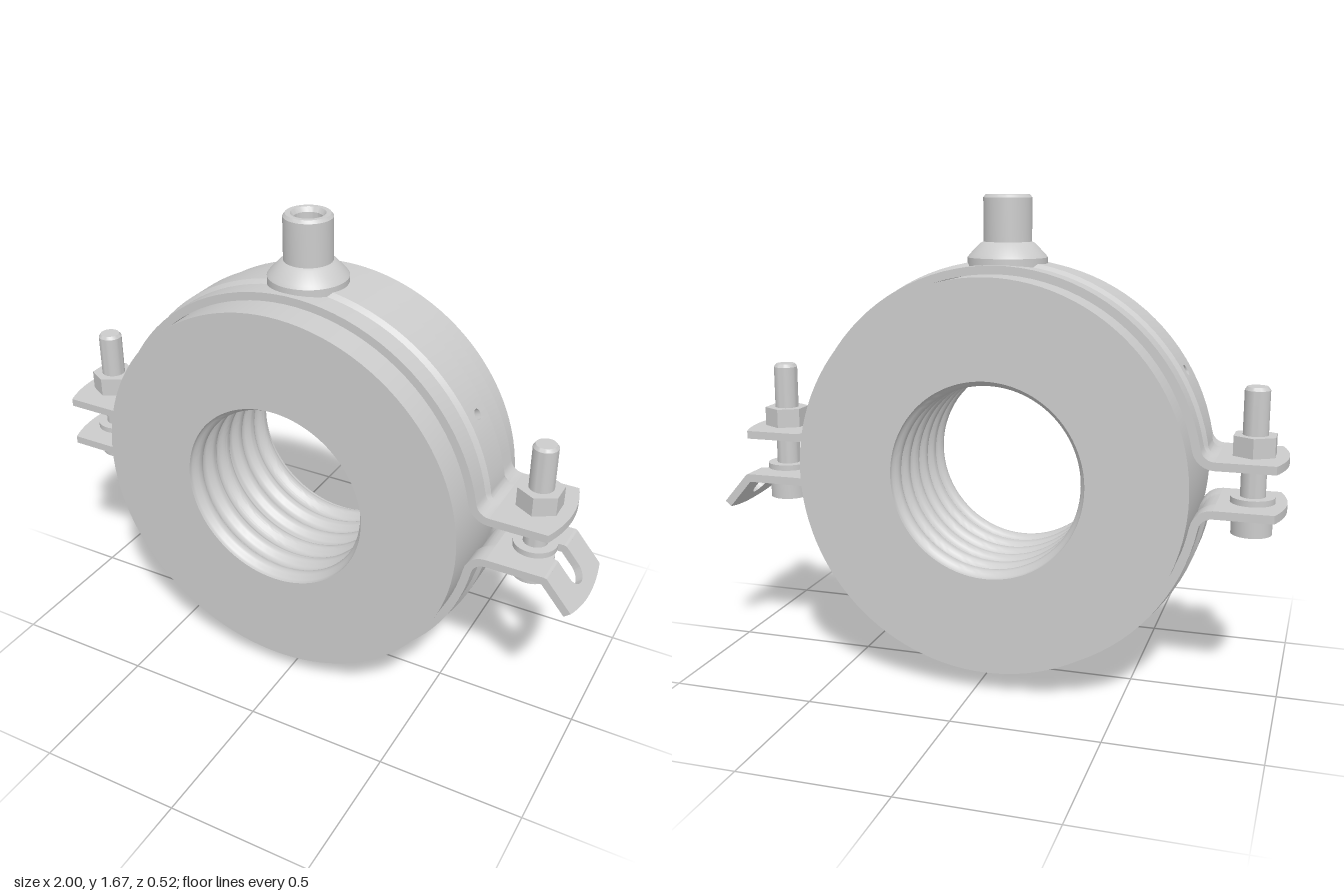
import * as THREE from 'three';
import { toCreasedNormals } from 'three/addons/utils/BufferGeometryUtils.js';

const CY = 0.744;            // height of the ring axis
const R = 0.686, T = 0.028;  // band mid radius and sheet thickness
const W = 0.155;             // half width of the band
const H = 0.08;              // ear height above the axis
const RF = 0.06;             // bend radius between band and ear
const BOLT = 0.845;          // bolt distance from the axis
const FX = Math.sqrt((R + RF) ** 2 - (H + RF) ** 2); // where the flat ear begins

const material = new THREE.MeshStandardMaterial({ color: 0xcccccc });

function part(name, geometry, parent, crease = 0.5) {
  const mesh = new THREE.Mesh(toCreasedNormals(geometry, crease), material);
  mesh.name = name;
  parent.add(mesh);
  return mesh;
}

function lathe(points, segments = 48) {
  return new THREE.LatheGeometry(points.map(([x, y]) => new THREE.Vector2(x, y)), segments);
}

// Flat plate lying in xz, centred on y = 0
function plate(shape) {
  return new THREE.ExtrudeGeometry(shape, { depth: T, bevelEnabled: false, curveSegments: 16 })
    .rotateX(-Math.PI / 2).translate(0, -T / 2, 0);
}

function circlePath(x, y, r) {
  const p = new THREE.Path();
  p.absarc(x, y, r, 0, Math.PI * 2, true);
  return p;
}

// Half band: sheet section swept along bend, arc, bend; the bead fades out in the bends
function bandGeometry() {
  const stations = [], bendSteps = 6, arcSteps = 44;
  const a0 = Math.asin((H + RF) / (R + RF));
  const bend = (k, side) => {
    const f = k / bendSteps, a = -Math.PI / 2 - f * (Math.PI / 2 - a0);
    const c = Math.cos(a), s = Math.sin(a);
    return { x: side * (FX + RF * c), y: H + RF + RF * s, nx: -side * c, ny: -s, bead: f };
  };
  for (let k = 0; k < bendSteps; k++) stations.push(bend(k, 1));
  for (let k = 0; k <= arcSteps; k++) {
    const a = a0 + (Math.PI - 2 * a0) * k / arcSteps, c = Math.cos(a), s = Math.sin(a);
    stations.push({ x: R * c, y: R * s, nx: c, ny: s, bead: 1 });
  }
  for (let k = bendSteps - 1; k >= 0; k--) stations.push(bend(k, -1));

  const outer = [[-W, 0], [-0.078, 0], [-0.06, 0.012], [0.06, 0.012], [0.078, 0], [W, 0]];
  const loop = [...outer.map(([z, b]) => [z, b, T / 2]),
    ...outer.slice().reverse().map(([z, b]) => [z, b, -T / 2])];
  const at = (st, [z, b, t]) => {
    const d = t + b * st.bead;
    return new THREE.Vector3(st.x + st.nx * d, st.y + st.ny * d, z);
  };
  const pos = [];
  const quad = (a, b, c, d) => [a, b, c, a, c, d].forEach(p => pos.push(p.x, p.y, p.z));
  const drilled = [bendSteps + 5, bendSteps + arcSteps - 6];

  for (let i = 0; i < stations.length - 1; i++) {
    const s0 = stations[i], s1 = stations[i + 1];
    loop.forEach((p, j) => {
      const q = loop[(j + 1) % loop.length];
      const a = at(s0, p), b = at(s1, p), c = at(s1, q), d = at(s0, q);
      if (j !== 2 || !drilled.includes(i)) return quad(a, b, c, d);
      // Small drilled hole: rectangle to circle, plus its wall
      const mid = a.clone().add(c).multiplyScalar(0.5);
      const ex = b.clone().sub(a).multiplyScalar(0.5), ez = d.clone().sub(a).multiplyScalar(0.5);
      const down = mid.clone().setZ(0).normalize().multiplyScalar(-T);
      const n = 24;
      const ring = k => {
        const t = (k + 0.5) / n * Math.PI * 2 + Math.PI / n, u = Math.cos(t), v = Math.sin(t);
        const m = Math.max(Math.abs(u), Math.abs(v));
        // equal steps around the square keep its corners
        const e = (k % n) / n * 4, side = Math.floor(e), f = (e - side) * 2 - 1;
        const sq = [[1, f], [-f, 1], [-1, -f], [f, -1]][side];
        const len = Math.hypot(sq[0], sq[1]);
        const put = (x, z) => mid.clone().addScaledVector(ex, x).addScaledVector(ez, z);
        const rim = put(sq[0] / len * 0.019 / ex.length(), sq[1] / len * 0.019 / ez.length());
        return { edge: put(sq[0], sq[1]), rim, base: rim.clone().add(down) };
      };
      for (let k = 0; k < n; k++) {
        const p0 = ring(k), p1 = ring(k + 1);
        quad(p0.edge, p1.edge, p1.rim, p0.rim);
        quad(p0.rim, p1.rim, p1.base, p0.base);
      }
    });
  }
  const g = new THREE.BufferGeometry();
  g.setAttribute('position', new THREE.Float32BufferAttribute(pos, 3));
  return g;
}

// Flat ear with a bowed end and a bolt hole
function earGeometry() {
  const s = new THREE.Shape();
  s.moveTo(FX, -W);
  s.lineTo(0.927, -W);
  s.quadraticCurveTo(0.987, 0, 0.927, W);
  s.lineTo(FX, W);
  s.holes.push(circlePath(BOLT, 0, 0.045));
  return plate(s);
}

// Ear with an open slot that runs on into an angled tab
function addSlottedEar(parent) {
  const bendX = 0.93, r = 0.045, tilt = 0.865;
  const flat = new THREE.Shape();
  flat.moveTo(FX, -W);
  flat.lineTo(bendX, -W);
  flat.lineTo(bendX, -r);
  flat.lineTo(BOLT, -r);
  flat.absarc(BOLT, 0, r, -Math.PI / 2, Math.PI / 2, true);
  flat.lineTo(bendX, r);
  flat.lineTo(bendX, W);
  flat.lineTo(FX, W);
  part('slottedEar', plate(flat).translate(0, H, 0), parent);

  const tab = new THREE.Shape();
  tab.moveTo(0, -W);
  tab.lineTo(0.135, -W);
  tab.quadraticCurveTo(0.185, 0, 0.135, W);
  tab.lineTo(0, W);
  tab.lineTo(0, r);
  tab.lineTo(0.065, r);
  tab.absarc(0.065, 0, r, Math.PI / 2, -Math.PI / 2, true);
  tab.lineTo(0, -r);
  part('slottedTab', plate(tab).rotateZ(tilt).translate(bendX, H, 0), parent);

  for (const s of [-1, 1]) {
    const g = new THREE.CylinderGeometry(T / 2, T / 2, W - r, 16).rotateX(Math.PI / 2);
    part('tabBend', g.translate(bendX, H, s * (W + r) / 2), parent);
  }
}

function createBolt(x) {
  const bolt = new THREE.Group();
  bolt.name = 'bolt';
  bolt.position.x = x;
  part('boltShaft', lathe([[0, 0.63], [0.042, 0.63], [0.042, 1.053], [0.034, 1.064], [0, 1.064]], 32), bolt);
  part('nut', new THREE.CylinderGeometry(0.078, 0.078, 0.067, 6).translate(0, 0.8715, 0), bolt);
  part('washer', new THREE.CylinderGeometry(0.074, 0.074, 0.02, 40).translate(0, 0.688, 0), bolt);
  // Round head with a hexagonal socket underneath
  const head = new THREE.Shape();
  head.absarc(0, 0, 0.068, 0, Math.PI * 2, false);
  const hex = [];
  for (let k = 0; k < 6; k++) {
    const a = -k * Math.PI / 3;
    hex.push(new THREE.Vector2(0.04 * Math.cos(a), 0.04 * Math.sin(a)));
  }
  head.holes.push(new THREE.Path(hex));
  const g = new THREE.ExtrudeGeometry(head, { depth: 0.05, bevelEnabled: false, curveSegments: 20 });
  part('boltHead', g.rotateX(-Math.PI / 2).translate(0, 0.57, 0), bolt);
  part('boltHeadTop', new THREE.CylinderGeometry(0.068, 0.068, 0.03, 40).translate(0, 0.635, 0), bolt);
  return bolt;
}

export function createModel() {
  const root = new THREE.Group();
  root.name = 'pipeClamp';
  const body = new THREE.Group();
  body.name = 'clampBody';
  body.position.x = -0.045;
  root.add(body);

  // Thick lining ring with a ribbed bore
  const profile = [[0.335, -0.26], [0.67, -0.26], [0.67, 0.26], [0.335, 0.26]];
  const ribs = 6, steps = ribs * 12;
  for (let k = 1; k <= steps; k++) {
    const wave = Math.cos(k / steps * ribs * Math.PI * 2);
    profile.push([0.325 + 0.01 * Math.max(-1, Math.min(1, wave * 1.4)), 0.26 - 0.52 * k / steps]);
  }
  part('liningRing', lathe(profile, 112).rotateX(Math.PI / 2).translate(0, CY, 0), body);

  // Upper and lower band halves with their ears
  for (const name of ['upperBand', 'lowerBand']) {
    const half = new THREE.Group();
    half.name = name;
    half.position.y = CY;
    if (name === 'lowerBand') half.rotation.x = Math.PI;
    part('band', bandGeometry(), half, 0.35);
    part('rightEar', earGeometry().rotateY(Math.PI).translate(0, H, 0), half);
    if (name === 'lowerBand') addSlottedEar(half);
    else part('leftEar', earGeometry().translate(0, H, 0), half);
    body.add(half);
  }

  for (const s of [-1, 1]) body.add(createBolt(s * BOLT));

  // Threaded socket on top, with a flared foot
  part('topSocket', lathe([[0.135, 1.425], [0.135, 1.463], [0.128, 1.473], [0.092, 1.51], [0.082, 1.515],
    [0.082, 1.66], [0.074, 1.67], [0.058, 1.67], [0.048, 1.655], [0.048, 1.57], [0.036, 1.56],
    [0.036, 1.47], [0, 1.47]]), body);

  // Open collar underneath
  part('bottomCollar', lathe([[0.07, 0.05], [0.07, 0.008], [0.078, 0], [0.088, 0], [0.125, 0.03],
    [0.128, 0.038], [0.128, 0.06]]), body);

  return root;
}
